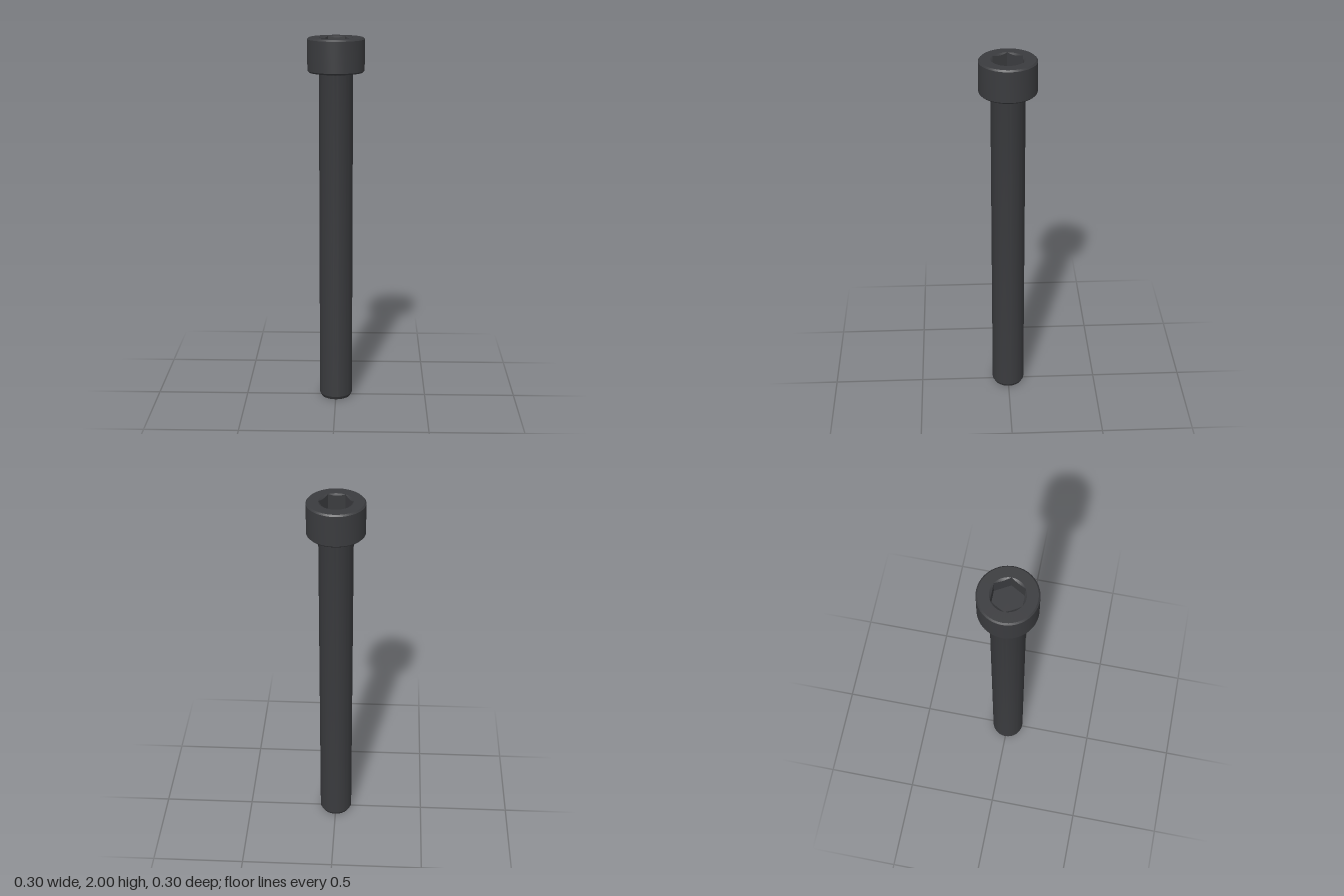
import * as THREE from 'three';
import { toCreasedNormals } from 'three/addons/utils/BufferGeometryUtils.js';

const SEGMENTS = 60; // multiple of 6, so the hexagon corners fall on vertices
const HEAD_R = 0.151, HEAD_Y = 1.82, SHAFT_R = 0.09;
const SOCKET_R = 0.0885, HEX_APOTHEM = 0.077, FLOOR_Y = 1.91;

const lathe = (points) =>
  new THREE.LatheGeometry(points.map(([r, y]) => new THREE.Vector2(r, y)), SEGMENTS);

// Distance from the axis to the hexagon's edge, with corners on the x axis
function hexRadius(angle) {
  const step = Math.PI / 3;
  const a = ((angle % step) + step) % step;
  return HEX_APOTHEM / Math.cos(a - step / 2);
}

// Hexagonal recess: round rim, conical lead-in, six flat walls, flat floor
function socketGeometry() {
  const geometry = lathe([[SOCKET_R, 2], [0.08, 1.99], [0.08, FLOOR_Y], [0, FLOOR_Y]]);
  const p = geometry.attributes.position;
  for (let i = 0; i < p.count; i++) {
    const row = i % 4;
    if (row !== 1 && row !== 2) continue;
    const angle = Math.atan2(p.getZ(i), p.getX(i));
    const r = hexRadius(angle + 1e-9);
    const y = row === 1 ? 2 - (SOCKET_R - r) * 0.7 : FLOOR_Y;
    p.setXYZ(i, r * Math.cos(angle), y, r * Math.sin(angle));
  }
  return geometry;
}

export function createModel() {
  const group = new THREE.Group();
  group.name = 'socketHeadScrew';
  const material = new THREE.MeshStandardMaterial({ color: 0x3a3b3e });

  const add = (name, geometry) => {
    const mesh = new THREE.Mesh(toCreasedNormals(geometry, 0.45), material);
    mesh.name = name;
    group.add(mesh);
  };

  // Shaft with a chamfered tip and a small fillet under the head
  const f = 0.009;
  const fillet = [];
  for (let i = 0; i <= 4; i++) {
    const a = (i / 4) * Math.PI / 2;
    fillet.push([SHAFT_R + f * (1 - Math.cos(a)), HEAD_Y - f + f * Math.sin(a)]);
  }
  add('shaft', lathe([[0, 0], [0.08, 0], [SHAFT_R, 0.018], ...fillet]));

  // Head with chamfered edges, open in the middle for the socket
  add('head', lathe([
    [SHAFT_R + f, HEAD_Y], [HEAD_R - 0.008, HEAD_Y], [HEAD_R, HEAD_Y + 0.008],
    [HEAD_R, 1.992], [HEAD_R - 0.008, 2], [SOCKET_R, 2],
  ]));

  add('hexSocket', socketGeometry());
  return group;
}
